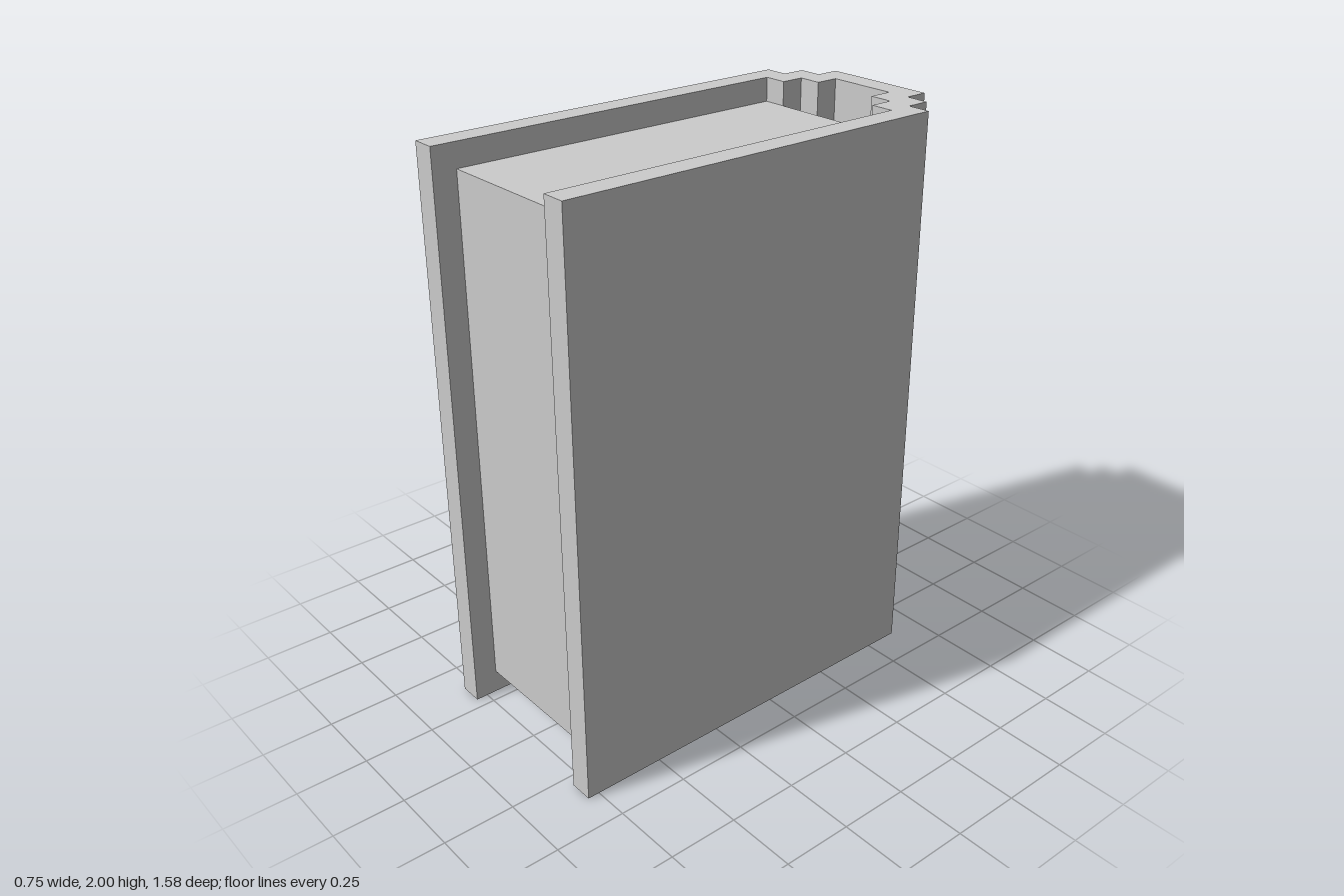
import * as THREE from 'three';

const U = 1 / 24; // half of the board thickness
const T = 2 * U;

export function createModel() {
  const book = new THREE.Group();
  book.name = 'book';
  const material = new THREE.MeshStandardMaterial({ color: 0xcccccc, flatShading: true });

  // Half of the cover's plan in units of U, as [x, distance towards the back]
  const outer = [[9, -19], [9, 15], [7, 15], [7, 17], [5, 17], [5, 19]];
  const inner = [[7, -19], [7, 13], [5, 13], [5, 15], [3, 15], [3, 17]];
  const mirrored = (half) => half.map(([x, y]) => [-x, y]).reverse();

  // Cover: two boards joined by a stepped spine, open at the front, top and bottom
  const outline = [...outer, ...mirrored(outer), ...mirrored(inner).reverse(), ...[...inner].reverse()];
  const shape = new THREE.Shape(outline.map(([x, y]) => new THREE.Vector2(x * U, y * U)));
  const coverGeometry = new THREE.ExtrudeGeometry(shape, { depth: 2, bevelEnabled: false });
  coverGeometry.rotateX(-Math.PI / 2);
  const cover = new THREE.Mesh(coverGeometry, material);
  cover.name = 'cover';

  // Page block, set in from the cover edges and clear of the spine
  const pages = new THREE.Mesh(new THREE.BoxGeometry(14 * U, 2 - 2 * T, 30 * U), material);
  pages.name = 'pages';
  pages.position.set(0, 1, 2 * U);

  book.add(cover, pages);
  return book;
}
